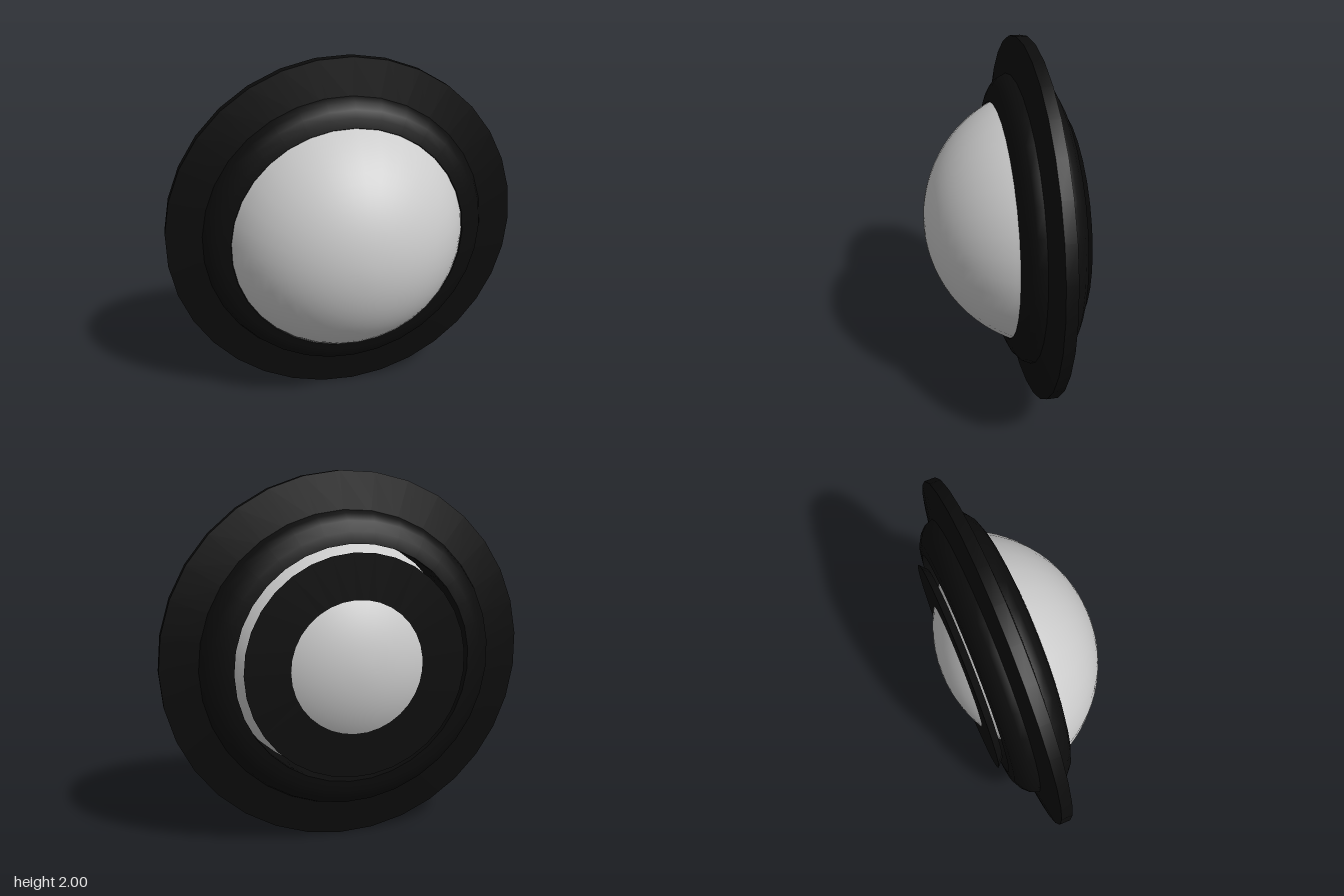
import * as THREE from 'three';
import { toCreasedNormals } from 'three/addons/utils/BufferGeometryUtils.js';

const SIDES = 33;
const black = new THREE.MeshStandardMaterial({ color: 0x0c0c0c });
const grey = new THREE.MeshStandardMaterial({ color: 0xcccccc });

// Turns a [radius, depth] profile around the z axis
function turned(name, profile, material) {
  const points = profile.map(([r, d]) => new THREE.Vector2(r, d));
  const lathe = new THREE.LatheGeometry(points, SIDES, Math.PI / 2);
  lathe.rotateX(Math.PI / 2);
  const mesh = new THREE.Mesh(toCreasedNormals(lathe, 0.6), material);
  mesh.name = name;
  return mesh;
}

export function createModel() {
  const model = new THREE.Group();
  model.name = 'lensDisc';

  // Lens: two shallow spherical caps meeting at a sharp rim
  const R = 0.731, offset = 0.294, steps = 14;
  const half = Math.acos(offset / R);
  const lens = [];
  for (let i = 0; i <= steps; i++) {
    const a = half * i / steps;
    lens.push([R * Math.sin(a), offset - R * Math.cos(a)]);
  }
  for (let i = steps - 1; i >= 0; i--) lens.push([lens[i][0], -lens[i][1]]);

  // Rounded ring body around the lens
  const body = turned('ringBody', [
    [0.64, -0.14], [0.64, -0.172], [0.7, -0.165], [0.755, -0.135], [0.79, -0.1], [0.808, -0.055],
    [0.808, 0.055], [0.785, 0.105], [0.75, 0.135], [0.71, 0.152], [0.66, 0.163],
    [0.655, 0.155], [0.655, 0], [0.64, -0.14],
  ], black);

  // Tapered outer flange
  const flange = turned('outerFlange', [
    [0.78, -0.066], [1.002, -0.03], [1.002, 0.03], [0.78, 0.066],
  ], black);

  // Flat back plate with a bevelled edge
  const plate = turned('backPlate', [
    [0.3, -0.213], [0.6, -0.213], [0.56, -0.175], [0.3, -0.175],
  ], black);

  const ring = new THREE.Group();
  ring.name = 'ring';
  ring.position.z = -0.13;
  ring.add(body, flange, plate);

  model.add(turned('lens', lens, grey), ring);
  // Whole disc is turned slightly about the vertical
  const tilted = new THREE.Group();
  tilted.name = 'disc';
  tilted.add(...model.children.slice());
  tilted.rotation.y = 0.076;
  tilted.position.y = 1;
  model.add(tilted);
  return model;
}
